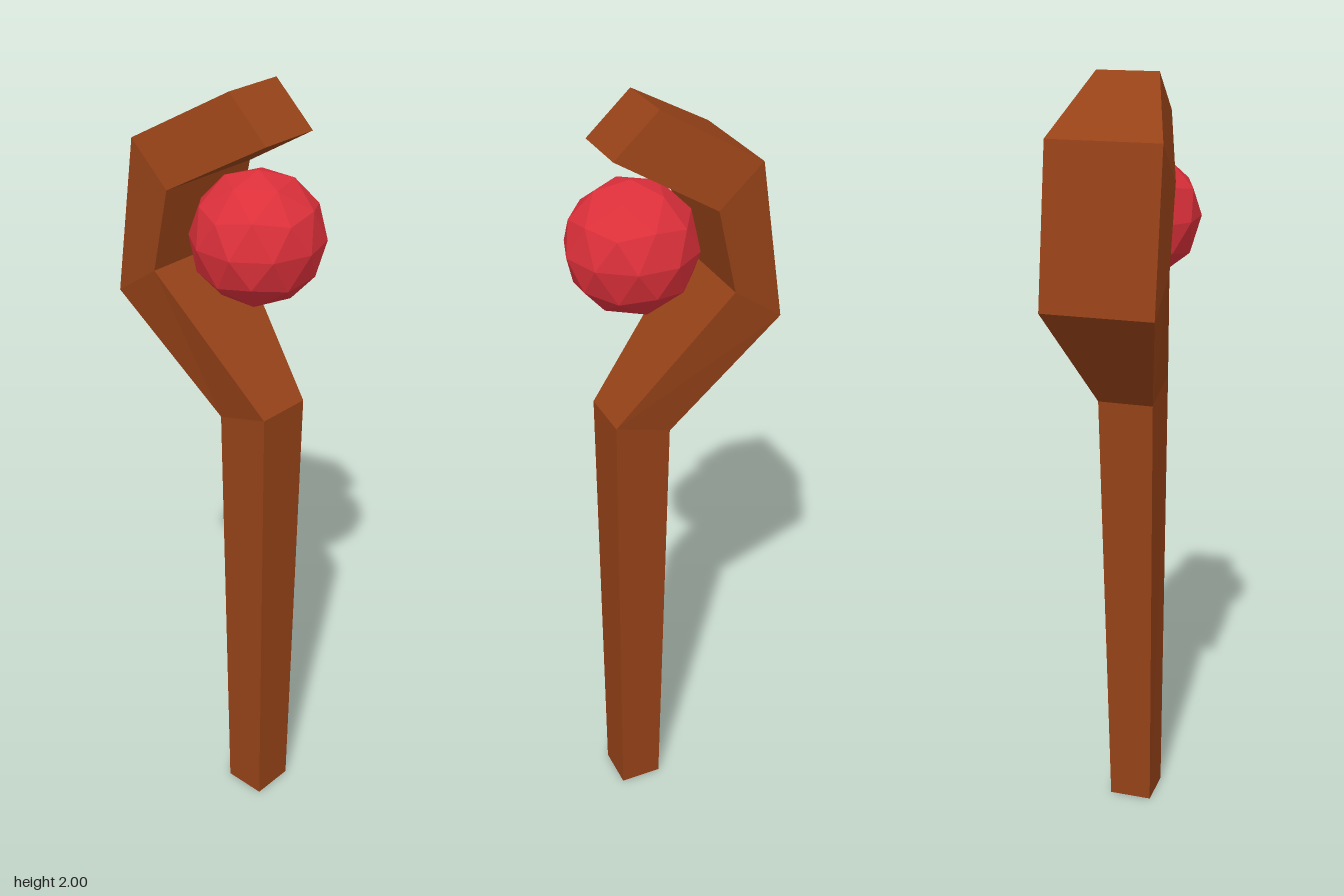
import * as THREE from 'three';

// Loft through four-cornered cross-sections with flat faces and closed ends
function loft(sections) {
  const rings = sections.map(({ x, front, back }) => [
    [x[0], front[1], front[0]], [x[1], front[1], front[0]],
    [x[1], back[1], back[0]], [x[0], back[1], back[0]],
  ]);
  const positions = [];
  const quad = (a, b, c, d) => positions.push(...a, ...b, ...c, ...a, ...c, ...d);
  for (let i = 0; i < rings.length - 1; i++) {
    const lower = rings[i], upper = rings[i + 1];
    for (let j = 0; j < 4; j++) {
      const k = (j + 1) % 4;
      quad(lower[j], lower[k], upper[k], upper[j]);
    }
  }
  const [a, b, c, d] = rings[0];
  quad(a, d, c, b);
  quad(...rings[rings.length - 1]);
  const geometry = new THREE.BufferGeometry();
  geometry.setAttribute('position', new THREE.Float32BufferAttribute(positions, 3));
  geometry.computeVertexNormals();
  return geometry;
}

export function createModel() {
  const group = new THREE.Group();
  group.name = 'staff';

  // Wooden shaft that widens into a hooked head; front and back are [z, y]
  const shaft = new THREE.Mesh(
    loft([
      { x: [-0.055, 0.06], front: [0.155, 0], back: [0.043, 0] },
      { x: [-0.063, 0.083], front: [0.162, 1.22], back: [0.02, 1.18] },
      { x: [-0.142, 0.142], front: [-0.12, 1.555], back: [-0.242, 1.47] },
      { x: [-0.142, 0.142], front: [-0.073, 1.765], back: [-0.182, 1.865] },
      { x: [-0.066, 0.092], front: [0.16, 1.9], back: [0.05, 2] },
    ]),
    new THREE.MeshStandardMaterial({ color: 0x964218, flatShading: true })
  );
  shaft.name = 'hookedShaft';
  group.add(shaft);

  // Faceted orb floating inside the hook, turned so one vertex points up
  const orbGeometry = new THREE.IcosahedronGeometry(0.162, 1);
  orbGeometry.rotateZ(Math.atan(2 / (1 + Math.sqrt(5))));
  const orb = new THREE.Mesh(
    orbGeometry,
    new THREE.MeshStandardMaterial({ color: 0xdc303a, flatShading: true })
  );
  orb.name = 'orb';
  orb.position.set(0, 1.652, 0.08);
  group.add(orb);

  return group;
}
